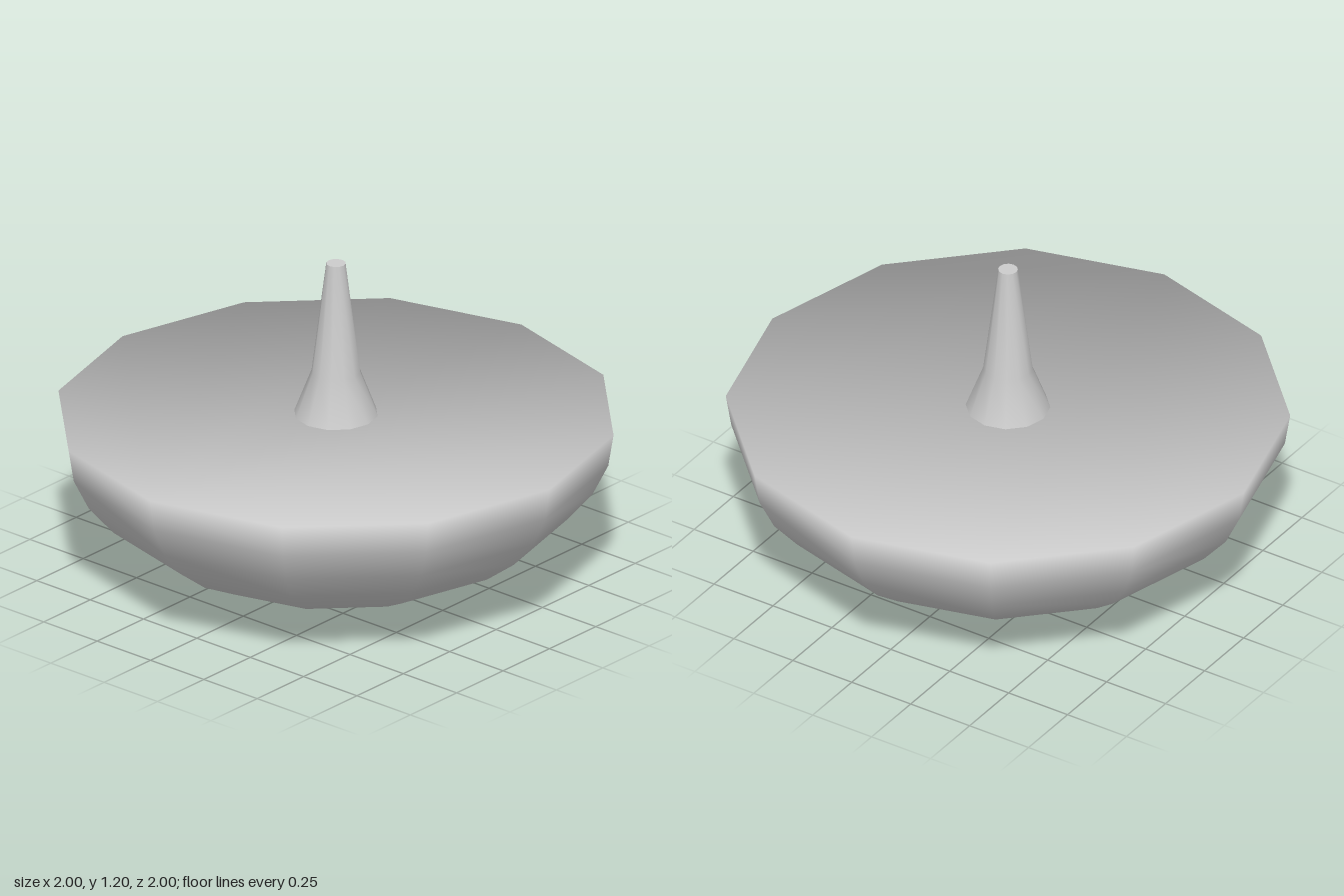
import * as THREE from 'three';

const SIDES = 12;
const RIM_Y = 0.618;
const TOP_Y = 1.2;
const material = new THREE.MeshStandardMaterial({ color: 0xcccccc });

function addPart(group, name, geometry) {
  const mesh = new THREE.Mesh(geometry, material);
  mesh.name = name;
  group.add(mesh);
  return mesh;
}

// Squashed half sphere, closed by a flat lid that shares its soft rim normals
function createBody() {
  const rings = 8;
  const profile = [];
  for (let i = 0; i <= rings; i++) {
    const a = (i / rings) * Math.PI / 2;
    profile.push(new THREE.Vector2(Math.sin(a), RIM_Y * (1 - Math.cos(a))));
  }
  const geometry = new THREE.LatheGeometry(profile, SIDES);
  const rim = (i) => i * (rings + 1) + rings;
  const index = Array.from(geometry.index.array);
  for (let i = 1; i < SIDES - 1; i++) index.push(rim(0), rim(i), rim(i + 1));
  geometry.setIndex(index);

  // Rim normals lean halfway between the lid and the wall
  for (let i = 0; i <= SIDES; i++) {
    const a = (i / SIDES) * Math.PI * 2;
    geometry.attributes.normal.setXYZ(rim(i), 0.8 * Math.sin(a), 0.6, 0.8 * Math.cos(a));
  }
  return geometry;
}

export function createModel() {
  const group = new THREE.Group();
  group.name = 'spinningTop';

  addPart(group, 'body', createBody());

  // Handle: flared foot running into a tapering stem
  const stem = [[0.15, RIM_Y], [0.088, 0.78], [0.035, TOP_Y]];
  addPart(group, 'handle', new THREE.LatheGeometry(stem.map(([r, y]) => new THREE.Vector2(r, y)), SIDES));

  // Flat end of the handle
  const tip = addPart(group, 'handleTip', new THREE.CircleGeometry(0.035, SIDES));
  tip.rotation.x = -Math.PI / 2;
  tip.position.y = TOP_Y;

  return group;
}
